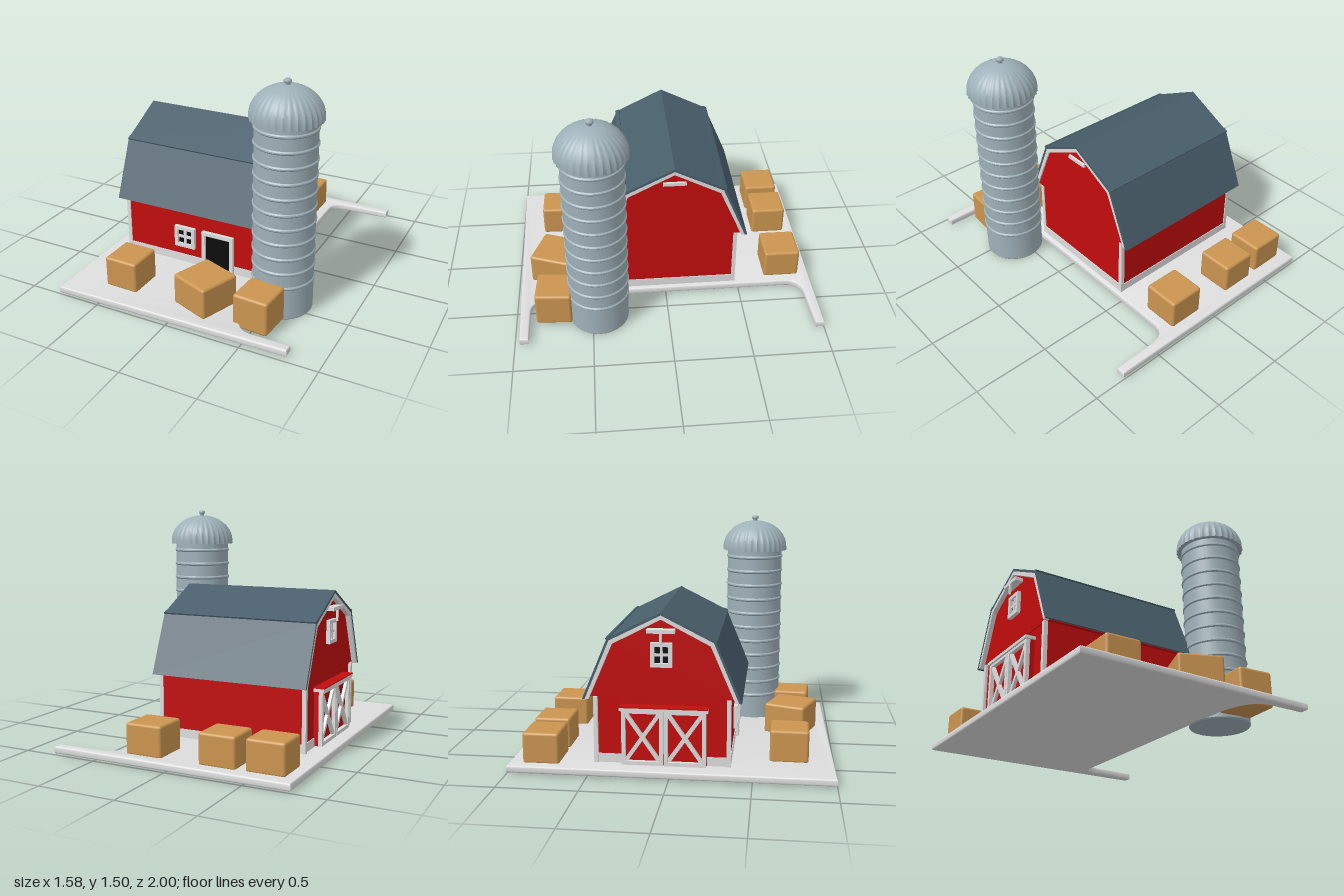
import * as THREE from 'three';
import { RoundedBoxGeometry } from 'three/addons/geometries/RoundedBoxGeometry.js';
import { toCreasedNormals } from 'three/addons/utils/BufferGeometryUtils.js';

function material(name, color, extra = {}) {
  const m = new THREE.MeshStandardMaterial({ color, ...extra });
  m.name = name;
  return m;
}

export function createModel() {
  const white = material('white trim', 0xdedede);
  const red = material('barn red', 0xc20c0c);
  const slate = material('slate roof', 0x485e6a);
  const steel = material('silo steel', 0x9fb1b9);
  const straw = material('straw', 0xcb9550);
  const black = material('dark opening', 0x0b0b0d);

  const model = new THREE.Group();
  model.name = 'farmyard';
  const group = (name) => {
    const g = new THREE.Group();
    g.name = name;
    model.add(g);
    return g;
  };
  const mesh = (parent, name, geometry, mat) => {
    const m = new THREE.Mesh(geometry, mat);
    m.name = name;
    parent.add(m);
    return m;
  };
  // Box given by its minimum and maximum corners
  const box = (parent, name, mat, [x0, y0, z0], [x1, y1, z1]) => {
    const m = mesh(parent, name, new THREE.BoxGeometry(x1 - x0, y1 - y0, z1 - z0), mat);
    m.position.set((x0 + x1) / 2, (y0 + y1) / 2, (z0 + z1) / 2);
    return m;
  };

  // Yard slab with two narrow arms
  const yard = new THREE.Shape();
  yard.moveTo(-0.78, -0.99);
  yard.lineTo(0.78, -0.99);
  yard.lineTo(0.78, -0.95);
  yard.lineTo(0.5, -0.94);
  yard.quadraticCurveTo(0.365, -0.935, 0.365, -0.82);
  yard.lineTo(0.365, 0.68);
  yard.quadraticCurveTo(0.4, 0.92, 0.54, 0.92);
  yard.lineTo(0.78, 0.92);
  yard.lineTo(0.78, 0.96);
  yard.lineTo(-0.78, 0.99);
  const slab = new THREE.ExtrudeGeometry(yard, {
    depth: 0.022, bevelThickness: 0.012, bevelSize: 0.01, bevelSegments: 3, curveSegments: 10,
  });
  slab.rotateX(Math.PI / 2).translate(0, 0.042, 0);
  mesh(model, 'yard', toCreasedNormals(slab, 0.6), white);

  // Barn, with its ridge along x
  const barn = group('barn');
  const cz = -0.055;
  const alongX = (name, mat, points, x0, x1) => {
    const shape = new THREE.Shape(points.map(([z, y]) => new THREE.Vector2(z, y)));
    const g = new THREE.ExtrudeGeometry(shape, { depth: x1 - x0, bevelEnabled: false });
    g.rotateY(-Math.PI / 2).translate(x1, 0, cz);
    return mesh(barn, name, g, mat);
  };
  const mirrored = (half) => [...half, ...half.filter(([z]) => z > 0).reverse().map(([z, y]) => [-z, y])];
  const band = (outer, inner) => {
    const o = mirrored(outer), i = mirrored(inner);
    return [...o, ...i.reverse()];
  };
  alongX('walls', red, mirrored([[0.415, 0.05], [0.415, 0.48], [0, 0.5]]), -0.65, 0.34);
  alongX('gables', red, mirrored([[0.44, 0.475], [0.305, 0.818], [0, 0.975]]), -0.657, 0.347);
  box(barn, 'foundation', white, [-0.656, 0.045, cz - 0.42], [0.346, 0.11, cz + 0.42]);
  for (const x of [-0.655, 0.333])
    for (const z of [cz - 0.408, cz + 0.408])
      box(barn, 'cornerPost', white, [x - 0.013, 0.045, z - 0.013], [x + 0.013, 0.475, z + 0.013]);

  // Gambrel roof and the white boards along its ends
  const top = [[0.485, 0.462], [0.325, 0.842], [0, 1.005]];
  const mid = [[0.468, 0.464], [0.315, 0.829], [0, 0.988]];
  const low = [[0.445, 0.464], [0.296, 0.808], [0, 0.962]];
  alongX('roof', slate, band(top, mid), -0.69, 0.36);
  alongX('roofEndBoard', white, band(mid, low), -0.688, -0.655);
  alongX('roofEndBoard', white, band(mid, low), 0.335, 0.358);
  for (const s of [-1, 1]) {
    const lip = box(barn, 'roofLip', slate, [-0.69, 0, 0], [0.36, 0.01, 0.03]);
    lip.position.set(-0.165, 0.845, cz + s * 0.32);
    lip.rotation.x = s * 0.465;
  }

  // Rectangular frame facing +z, centred on its own origin
  const frameGeometry = (w, h, t, depth) => {
    const shape = new THREE.Shape();
    const rect = (p, a, b) => p.moveTo(-a, -b).lineTo(a, -b).lineTo(a, b).lineTo(-a, b).closePath();
    rect(shape, w / 2, h / 2);
    const hole = new THREE.Path();
    rect(hole, w / 2 - t, h / 2 - t);
    shape.holes.push(hole);
    return new THREE.ExtrudeGeometry(shape, { depth, bevelEnabled: false });
  };
  const windowUnit = (name, w, h) => {
    const g = new THREE.Group();
    g.name = name;
    mesh(g, 'windowFrame', frameGeometry(w, h, 0.024, 0.025), white);
    box(g, 'panes', black, [-w / 2 + 0.02, -h / 2 + 0.02, 0], [w / 2 - 0.02, h / 2 - 0.02, 0.005]);
    box(g, 'mullion', white, [-0.008, -h / 2 + 0.02, 0], [0.008, h / 2 - 0.02, 0.018]);
    box(g, 'transom', white, [-w / 2 + 0.02, -0.008, 0], [w / 2 - 0.02, 0.008, 0.018]);
    barn.add(g);
    return g;
  };
  windowUnit('frontWindow', 0.15, 0.15).position.set(-0.21, 0.25, cz + 0.415);
  const loft = windowUnit('loftWindow', 0.13, 0.15);
  loft.position.set(-0.657, 0.745, cz);
  loft.rotation.y = -Math.PI / 2;

  // Front doorway
  const doorFrame = mesh(barn, 'doorFrame', frameGeometry(0.23, 0.28, 0.025, 0.025), white);
  doorFrame.position.set(0.035, 0.185, cz + 0.415);
  box(barn, 'doorOpening', black, [-0.06, 0.06, cz + 0.415], [0.13, 0.305, cz + 0.423]);

  // Gable bars
  box(barn, 'loftBar', white, [-0.712, 0.882, cz - 0.085], [-0.655, 0.905, cz + 0.085]);
  box(barn, 'loftHook', white, [-0.712, 0.812, cz - 0.008], [-0.7, 0.885, cz + 0.008]);
  box(barn, 'gableBar', white, [0.345, 0.882, cz - 0.075], [0.362, 0.905, cz + 0.075]);

  // Cross-braced double doors
  const doors = group('barnDoors');
  doors.position.set(-0.65, 0.235, -0.04);
  doors.rotation.y = -Math.PI / 2;
  box(doors, 'doorPanel', red, [-0.26, -0.175, 0], [0.26, 0.175, 0.03]);
  box(doors, 'doorRail', white, [-0.27, 0.168, 0], [0.27, 0.188, 0.068]);
  box(doors, 'railCap', red, [-0.27, 0.188, 0], [0.27, 0.195, 0.07]);
  for (const s of [-1, 1]) {
    const leaf = mesh(doors, 'doorLeafFrame', frameGeometry(0.256, 0.35, 0.024, 0.028), white);
    leaf.position.set(s * 0.13, 0, 0.028);
    const w = 0.21, h = 0.305;
    for (const t of [-1, 1]) {
      const brace = mesh(doors, 'doorBrace', new THREE.BoxGeometry(0.024, Math.hypot(w, h), 0.02), white);
      brace.position.set(s * 0.13, 0, 0.04);
      brace.rotation.z = t * Math.atan2(w, h);
    }
  }

  // Silo with hoops, fluted dome and finial
  const silo = group('silo');
  silo.position.set(0.54, 0, 0.455);
  const profile = [[0, 0], [0.186, 0], [0.192, 0.008]];
  for (let i = 0; i < 11; i++) {
    const y = 0.22 + i * 0.099;
    profile.push([0.192, y - 0.012], [0.199, y - 0.004], [0.199, y + 0.004], [0.192, y + 0.012]);
  }
  profile.push([0.192, 1.27]);
  const lathe = (points, n) => new THREE.LatheGeometry(points.map(([r, y]) => new THREE.Vector2(r, y)), n);
  mesh(silo, 'siloBody', toCreasedNormals(lathe(profile, 48), 0.5), steel);

  const domePoints = [[0.18, 1.255], [0.225, 1.255], [0.225, 1.275]];
  for (let i = 1; i <= 10; i++) {
    const a = (i / 10) * Math.PI / 2;
    domePoints.push([i === 10 ? 0 : 0.225 * Math.cos(a), 1.275 + 0.185 * Math.sin(a)]);
  }
  const dome = lathe(domePoints, 128);
  const p = dome.attributes.position;
  for (let i = 0; i < p.count; i++) {
    const angle = Math.atan2(p.getZ(i), p.getX(i));
    const k = 1 - 0.035 * (0.5 + 0.5 * Math.cos(32 * angle));
    p.setX(i, p.getX(i) * k);
    p.setZ(i, p.getZ(i) * k);
  }
  mesh(silo, 'siloDome', toCreasedNormals(dome, 0.7), steel);
  mesh(silo, 'siloFinial', lathe([[0.015, 1.45], [0.015, 1.472], [0.024, 1.474], [0.024, 1.486],
    [0.016, 1.494], [0, 1.495]], 20), steel);

  // Straw bales: x, z, base, width, height, depth, turn
  const bales = [
    [-0.6, -0.8, 0.045, 0.245, 0.2, 0.23, 0],
    [-0.3, -0.805, 0.045, 0.24, 0.2, 0.235, 0],
    [0.19, -0.805, 0.045, 0.245, 0.2, 0.24, 0],
    [-0.418, 0.72, 0.045, 0.23, 0.208, 0.24, -0.02],
    [0.137, 0.733, 0.045, 0.28, 0.208, 0.28, -0.36],
    [0.508, 0.743, 0.02, 0.235, 0.227, 0.235, -0.07],
  ];
  for (const [x, z, y, w, h, d, turn] of bales) {
    const bale = mesh(model, 'strawBale', new RoundedBoxGeometry(w, h, d, 3, 0.018), straw);
    bale.position.set(x, y + h / 2, z);
    bale.rotation.y = turn;
  }
  return model;
}
